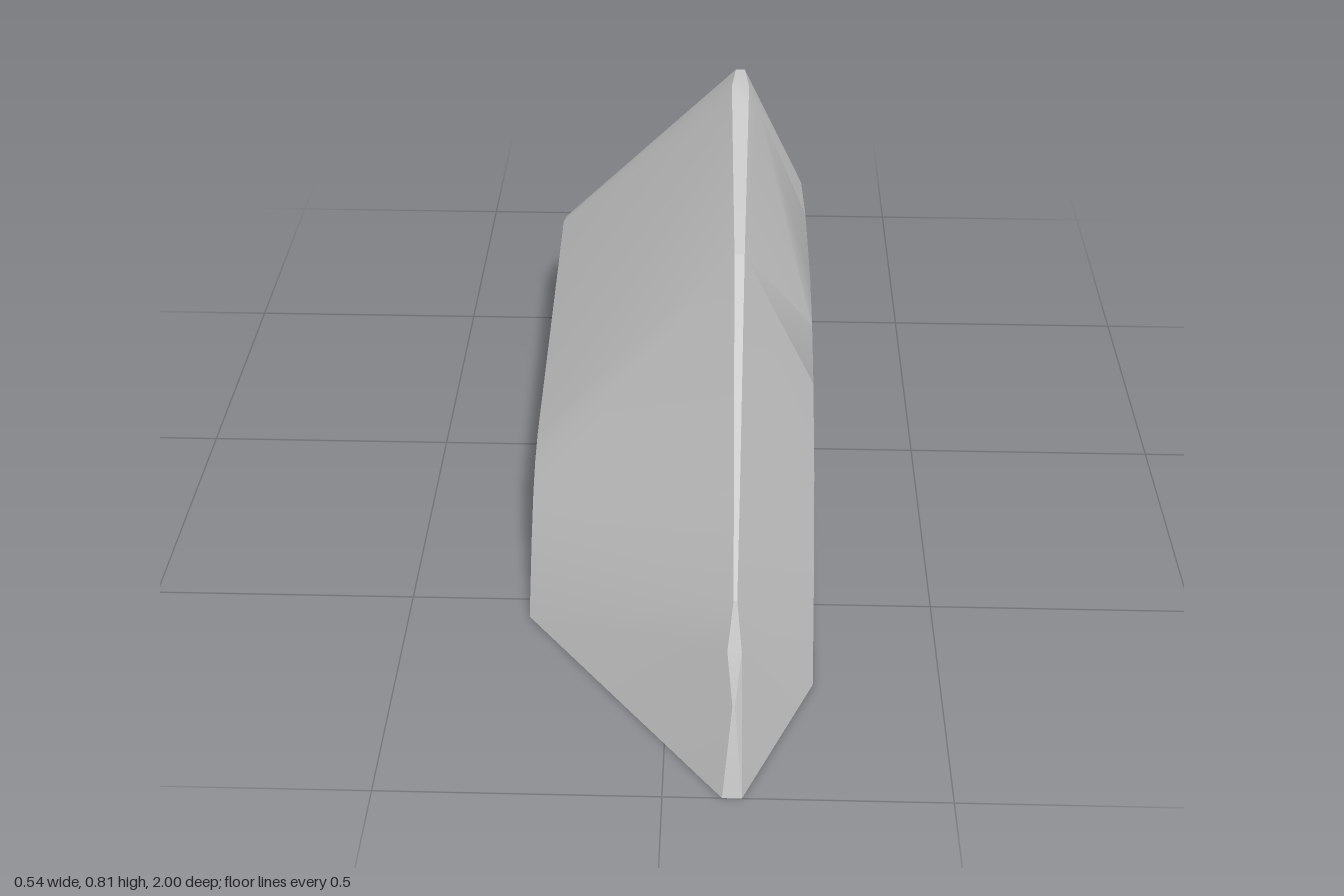
import * as THREE from 'three';
import { ConvexGeometry } from 'three/addons/geometries/ConvexGeometry.js';
import { toCreasedNormals } from 'three/addons/utils/BufferGeometryUtils.js';

// Profiles run from the front foot to the back foot.
// Broad flat face on the +x side: [z, y]
const LEFT_X = 0.267;
const leftProfile = [
  [0.72, 0], [0.6, 0.165], [0.465, 0.29], [0.305, 0.383], [0.17, 0.427],
  [0.02, 0.445], [-0.285, 0.415], [-0.555, 0.345], [-0.74, 0.25], [-0.86, 0.12], [-0.92, 0],
];

// Smaller flat face on the -x side: [z, y]
const RIGHT_X = -0.269;
const rightProfile = [
  [0.55, 0], [0.46, 0.115], [0.395, 0.18], [0.34, 0.215], [0.275, 0.235],
  [-0.41, 0.315], [-0.48, 0.29], [-0.6, 0.2], [-0.72, 0.09], [-0.805, 0],
];

// Narrow crest between the two faces: [z, y, half width]
const CREST_X = 0.12;
const crestProfile = [
  [1, 0, 0.017], [0.975, 0.19, 0.002], [0.945, 0.285, 0.012], [0.915, 0.37, 0.003],
  [0.79, 0.49, 0.005], [0.43, 0.745, 0.009], [-0.03, 0.807, 0.016], [-0.1, 0.812, 0.017],
  [-0.2, 0.8, 0.009], [-0.75, 0.495, 0.005], [-0.85, 0.41, 0.007], [-0.93, 0.3, 0.008],
  [-0.99, 0.12, 0.012], [-1, 0, 0.017],
];

export function createModel() {
  const group = new THREE.Group();
  group.name = 'facetedStone';

  const points = [];
  for (const [z, y] of leftProfile) points.push(new THREE.Vector3(LEFT_X, y, z));
  for (const [z, y] of rightProfile) points.push(new THREE.Vector3(RIGHT_X, y, z));
  for (const [z, y, w] of crestProfile) {
    for (const side of [-1, 1]) points.push(new THREE.Vector3(CREST_X + side * w, y, z));
  }
  // Slight shoulder below the top of the crest
  points.push(new THREE.Vector3(0.156, 0.768, -0.1));

  // Skin stretched over the three profiles, with sharp edges kept
  const geometry = toCreasedNormals(new ConvexGeometry(points), 0.35);
  const body = new THREE.Mesh(geometry, new THREE.MeshStandardMaterial({ color: 0xcccccc }));
  body.name = 'body';
  group.add(body);
  return group;
}
